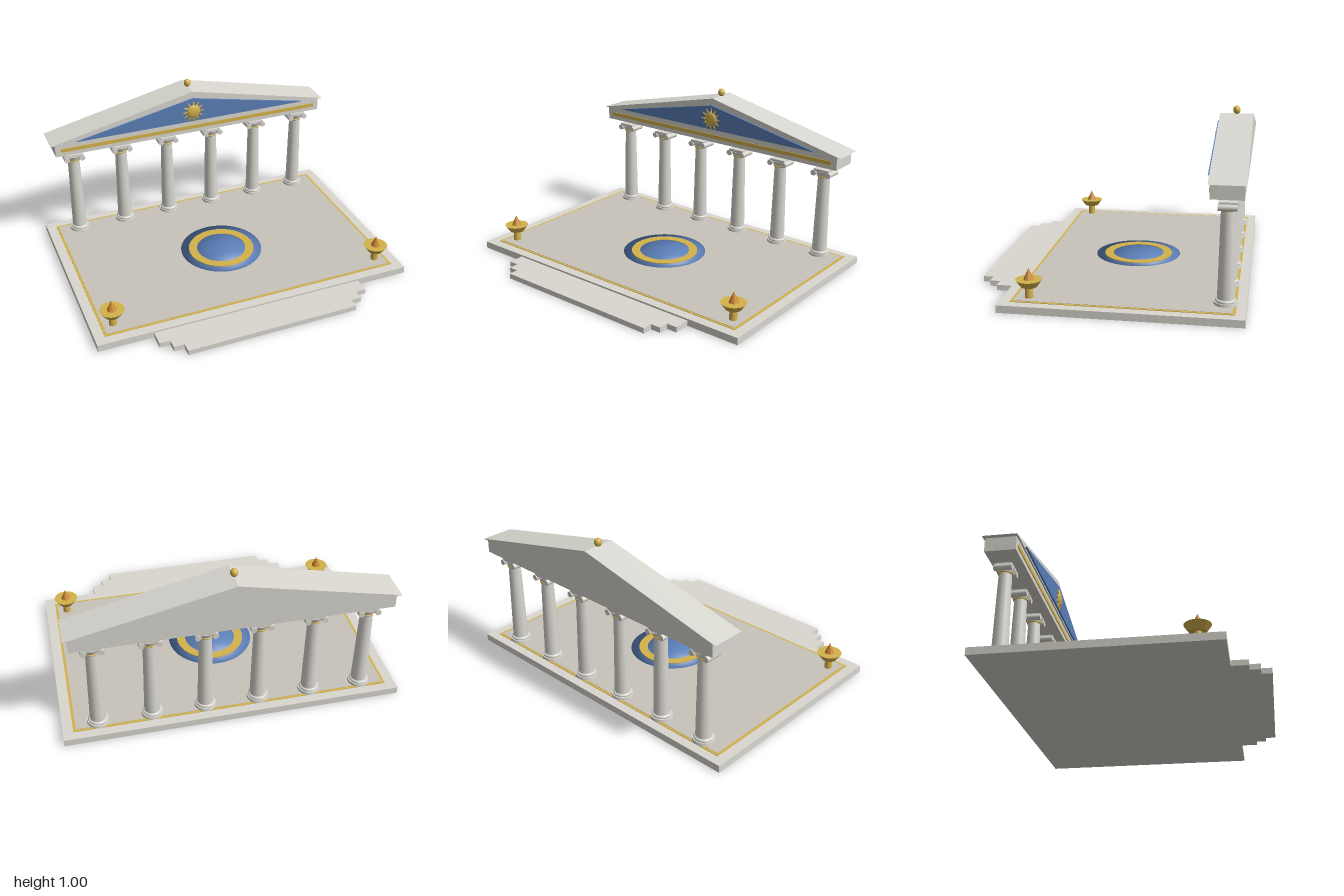
import * as THREE from 'three';

const mat = (color, flatShading = false) => {
  const m = new THREE.MeshStandardMaterial({ color });
  m.flatShading = flatShading;
  return m;
};
const MARBLE = mat(0xd9d7d0), FLOOR = mat(0xc8c4ba), GOLD = mat(0xd4b24c);
const BLUE = mat(0x5b7fb8), FLAME = mat(0xd08a35, true);

function add(parent, name, geometry, material, x = 0, y = 0, z = 0) {
  const mesh = new THREE.Mesh(geometry, material);
  mesh.name = name;
  mesh.position.set(x, y, z);
  parent.add(mesh);
  return mesh;
}

// Box given by its min and max corners
function block(parent, name, material, [x0, y0, z0], [x1, y1, z1]) {
  return add(parent, name, new THREE.BoxGeometry(x1 - x0, y1 - y0, z1 - z0), material,
    (x0 + x1) / 2, (y0 + y1) / 2, (z0 + z1) / 2);
}

function group(parent, name, x = 0, y = 0, z = 0) {
  const g = new THREE.Group();
  g.name = name;
  g.position.set(x, y, z);
  parent.add(g);
  return g;
}

// Triangular prism running forward from z
function gable(parent, name, material, halfWidth, y0, y1, z0, z1) {
  const s = new THREE.Shape();
  s.moveTo(-halfWidth, y0);
  s.lineTo(halfWidth, y0);
  s.lineTo(0, y1);
  s.closePath();
  const g = new THREE.ExtrudeGeometry(s, { depth: z1 - z0, bevelEnabled: false });
  return add(parent, name, g, material, 0, 0, z0);
}

function buildPlatform(root) {
  const p = group(root, 'platform');
  block(p, 'platformSlab', MARBLE, [-1, 0, -0.775], [1, 0.043, 0.555]);
  block(p, 'goldTrim', GOLD, [-0.94, 0.043, -0.72], [0.94, 0.046, 0.495]);
  block(p, 'floor', FLOOR, [-0.925, 0.046, -0.705], [0.925, 0.048, 0.48]);
  // Front steps, narrowing outwards
  const steps = [[0.665, 0.555, 0.652], [0.6, 0.652, 0.712], [0.535, 0.712, 0.772]];
  for (const [w, z0, z1] of steps) block(p, 'step', MARBLE, [-w, 0, z0], [w, 0.032, z1]);
}

function buildMedallion(root) {
  const m = group(root, 'floorMedallion', 0, 0.047, -0.07);
  // Shallow dome that keeps its rounded normals
  const dome = new THREE.SphereGeometry(0.267, 48, 16, 0, Math.PI * 2, 0, Math.PI / 2);
  const pos = dome.attributes.position;
  for (let i = 0; i < pos.count; i++) pos.setY(i, pos.getY(i) * 0.018);
  add(m, 'medallionDome', dome, BLUE);
  // Flat gold ring
  const ring = new THREE.Shape().absarc(0, 0, 0.21, 0, Math.PI * 2);
  ring.holes.push(new THREE.Path().absarc(0, 0, 0.157, 0, Math.PI * 2, true));
  const g = new THREE.ExtrudeGeometry(ring, { depth: 0.007, bevelEnabled: false, curveSegments: 32 });
  add(m, 'medallionRing', g.rotateX(-Math.PI / 2), GOLD);
}

function buildColumn(root, x) {
  const c = group(root, 'column', x, 0, -0.66);
  add(c, 'columnPlinth', new THREE.CylinderGeometry(0.063, 0.065, 0.017, 24), MARBLE, 0, 0.055, 0);
  const torus = new THREE.TorusGeometry(0.047, 0.011, 8, 24).rotateX(Math.PI / 2);
  add(c, 'columnBaseRing', torus, MARBLE, 0, 0.069, 0);
  add(c, 'columnShaft', new THREE.CylinderGeometry(0.037, 0.047, 0.515, 20), MARBLE, 0, 0.32, 0);
  const collar = new THREE.TorusGeometry(0.039, 0.005, 8, 24).rotateX(Math.PI / 2);
  add(c, 'columnCollar', collar, GOLD, 0, 0.573, 0);
  add(c, 'capitalBell', new THREE.CylinderGeometry(0.052, 0.04, 0.03, 24), MARBLE, 0, 0.592, 0);
  for (const s of [-1, 1]) {
    const scroll = new THREE.CylinderGeometry(0.018, 0.018, 0.104, 16).rotateX(Math.PI / 2);
    add(c, 'capitalScroll', scroll, MARBLE, s * 0.05, 0.594, 0);
  }
  block(c, 'capitalTop', MARBLE, [-0.052, 0.604, -0.047], [0.052, 0.622, 0.047]);
}

function buildRoof(root) {
  const r = group(root, 'roof');
  block(r, 'entablature', MARBLE, [-0.917, 0.655, -0.75], [0.917, 0.74, -0.57]);
  block(r, 'goldBand', GOLD, [-0.88, 0.683, -0.572], [0.88, 0.707, -0.565]);
  gable(r, 'pediment', MARBLE, 0.945, 0.738, 0.952, -0.76, -0.56);
  gable(r, 'pedimentPanel', BLUE, 0.78, 0.747, 0.907, -0.565, -0.549);
  const finial = add(r, 'finial', new THREE.SphereGeometry(0.022, 20, 14), GOLD, 0, 0.973, -0.66);
  finial.scale.y = 1.15;

  // Sun emblem with radiating rays
  const sun = group(r, 'sunEmblem', 0, 0.815, -0.548);
  const disc = add(sun, 'sunDisc', new THREE.SphereGeometry(0.045, 24, 16), GOLD);
  disc.scale.z = 0.3;
  for (let i = 0; i < 12; i++) {
    const ray = new THREE.ConeGeometry(0.009, 0.035, 6).translate(0, 0.064, 0);
    ray.rotateZ((i * Math.PI) / 6);
    add(sun, 'sunRay', ray, GOLD).scale.z = 0.7;
  }
}

function buildBrazier(root, x) {
  const b = group(root, 'brazier', x, 0, 0.405);
  add(b, 'brazierStem', new THREE.CylinderGeometry(0.02, 0.024, 0.075, 12), GOLD, 0, 0.08, 0);
  add(b, 'brazierBowl', new THREE.CylinderGeometry(0.074, 0.046, 0.04, 20), GOLD, 0, 0.132, 0);
  add(b, 'flame', new THREE.ConeGeometry(0.03, 0.066, 8), FLAME, 0, 0.184, 0);
}

export function createModel() {
  const root = new THREE.Group();
  root.name = 'templeFacade';
  buildPlatform(root);
  buildMedallion(root);
  for (let i = 0; i < 6; i++) buildColumn(root, -0.79 + i * 0.316);
  buildRoof(root);
  for (const s of [-1, 1]) buildBrazier(root, s * 0.866);
  return root;
}
